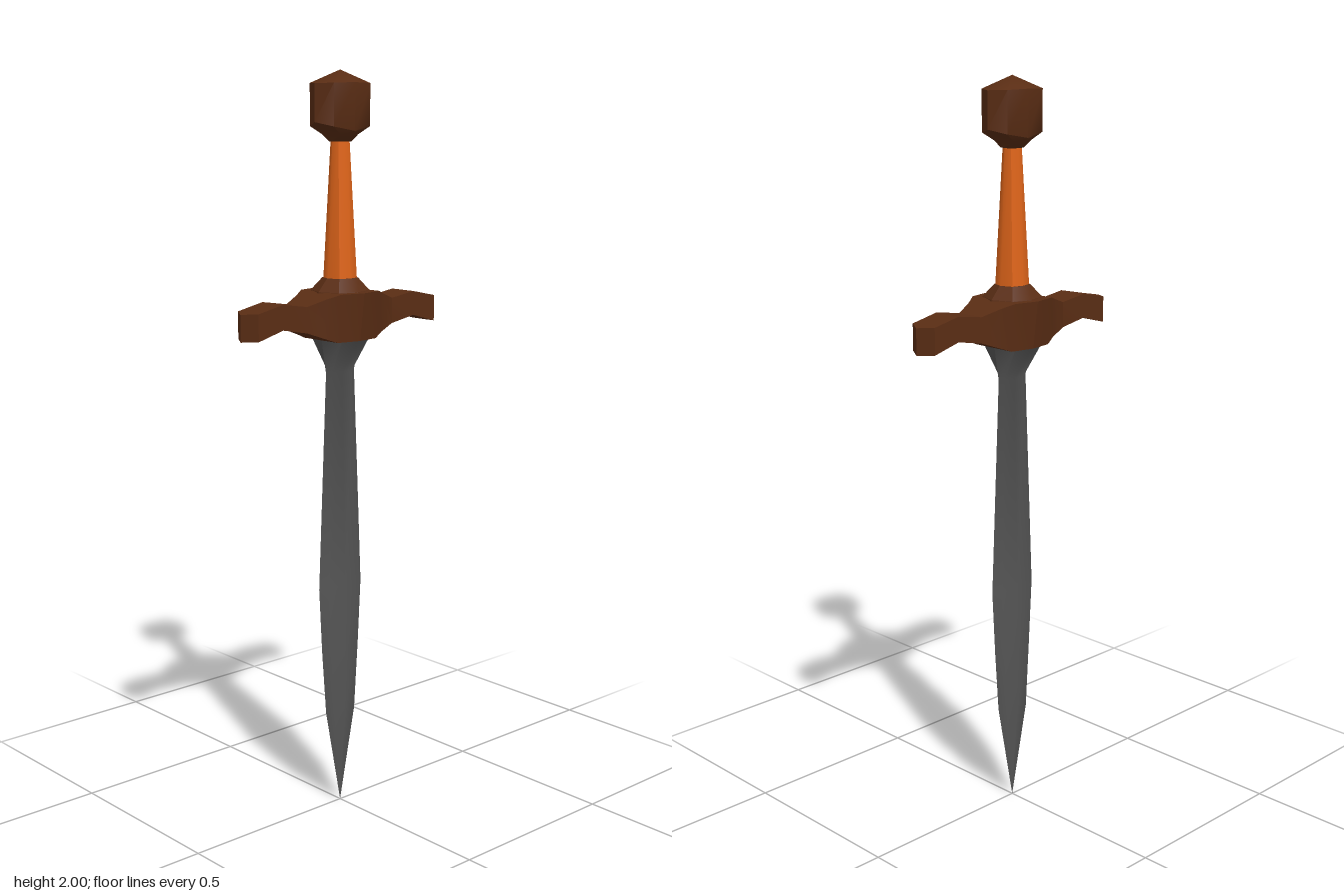
import * as THREE from 'three';
import { toCreasedNormals } from 'three/addons/utils/BufferGeometryUtils.js';

const BROWN = 0x5a2d14, ORANGE = 0xe0651a, STEEL = 0x555555;

// Skins a list of rings (equal numbers of points) and closes both ends.
function loft(rings, crease) {
  const pos = [];
  const ab = new THREE.Vector3(), ac = new THREE.Vector3();
  const tri = (a, b, c) => {
    ab.subVectors(b, a);
    ac.subVectors(c, a);
    if (ab.cross(ac).length() > 1e-9) pos.push(...a, ...b, ...c);
  };
  const n = rings[0].length;
  for (let r = 0; r < rings.length - 1; r++) {
    for (let i = 0; i < n; i++) {
      const j = (i + 1) % n, lo = rings[r], hi = rings[r + 1];
      tri(lo[i], hi[i], lo[j]);
      tri(hi[i], hi[j], lo[j]);
    }
  }
  const first = rings[0], last = rings[rings.length - 1];
  for (let i = 1; i < n - 1; i++) {
    tri(first[0], first[i], first[i + 1]);
    tri(last[0], last[i + 1], last[i]);
  }
  const g = new THREE.BufferGeometry();
  g.setAttribute('position', new THREE.Float32BufferAttribute(pos, 3));
  return toCreasedNormals(g, crease);
}

// Eight-sided horizontal ring; rise lifts the corners towards +x and -x.
const OCTAGON = [[1, 0], [0.72, 0.8], [0, 1], [-0.72, 0.8], [-1, 0], [-0.72, -0.8], [0, -1], [0.72, -0.8]];
const ring = ([y, rx, rz, rise = 0]) =>
  OCTAGON.map(([x, z]) => new THREE.Vector3(x * rx, y + rise * x * x, z * rz));

export function createModel() {
  const model = new THREE.Group();
  const add = (name, rings, color, crease) => {
    const mesh = new THREE.Mesh(loft(rings, crease), new THREE.MeshStandardMaterial({ color }));
    mesh.name = name;
    model.add(mesh);
  };

  // Leaf-shaped blade, flaring into the guard: [y, half width, half depth]
  add('blade', [
    [0, 0, 0], [0.27, 0.052, 0.021], [0.45, 0.066, 0.022], [0.63, 0.076, 0.021],
    [1.22, 0.05, 0.008], [1.315, 0.066, 0.078],
  ].map(ring), STEEL, 0.9);

  // Crossguard, one half mirrored: [x, bottom, top, half depth at top, at bottom]
  const half = [
    [0.335, 1.33, 1.4, 0, 0],
    [0.31, 1.333, 1.403, 0.041, 0.041],
    [0.23, 1.355, 1.42, 0.041, 0.041],
    [0.15, 1.34, 1.408, 0.041, 0.041],
    [0.1, 1.322, 1.425, 0.06, 0.052],
    [0.067, 1.31, 1.436, 0.079, 0.066],
  ];
  const sections = [
    ...half.map(([x, ...rest]) => [-x, ...rest]),
    [0, 1.31, 1.436, 0.094, 0.078],
    ...half.slice().reverse(),
  ];
  add('crossguard', sections.map(([x, y0, y1, zt, zb]) => [
    new THREE.Vector3(x, y1, zt), new THREE.Vector3(x, y1, -zt),
    new THREE.Vector3(x, y0, -zb), new THREE.Vector3(x, y0, zb),
  ]), BROWN, 0.35);

  // Sloped collar between guard and grip
  add('collar', [[1.42, 0.08, 0.075], [1.437, 0.075, 0.07], [1.47, 0.046, 0.042]].map(ring), BROWN, 0.4);

  // Tapering grip
  add('grip', [[1.46, 0.043, 0.04], [1.84, 0.026, 0.018]].map(ring), ORANGE, 0.9);

  // Faceted pommel with a low pointed crown
  add('pommel', [
    [1.82, 0.028, 0.026], [1.838, 0.042, 0.045], [1.847, 0.087, 0.057, 0.022],
    [1.968, 0.087, 0.058, -0.003], [2, 0, 0],
  ].map(ring), BROWN, 0.9);

  return model;
}
